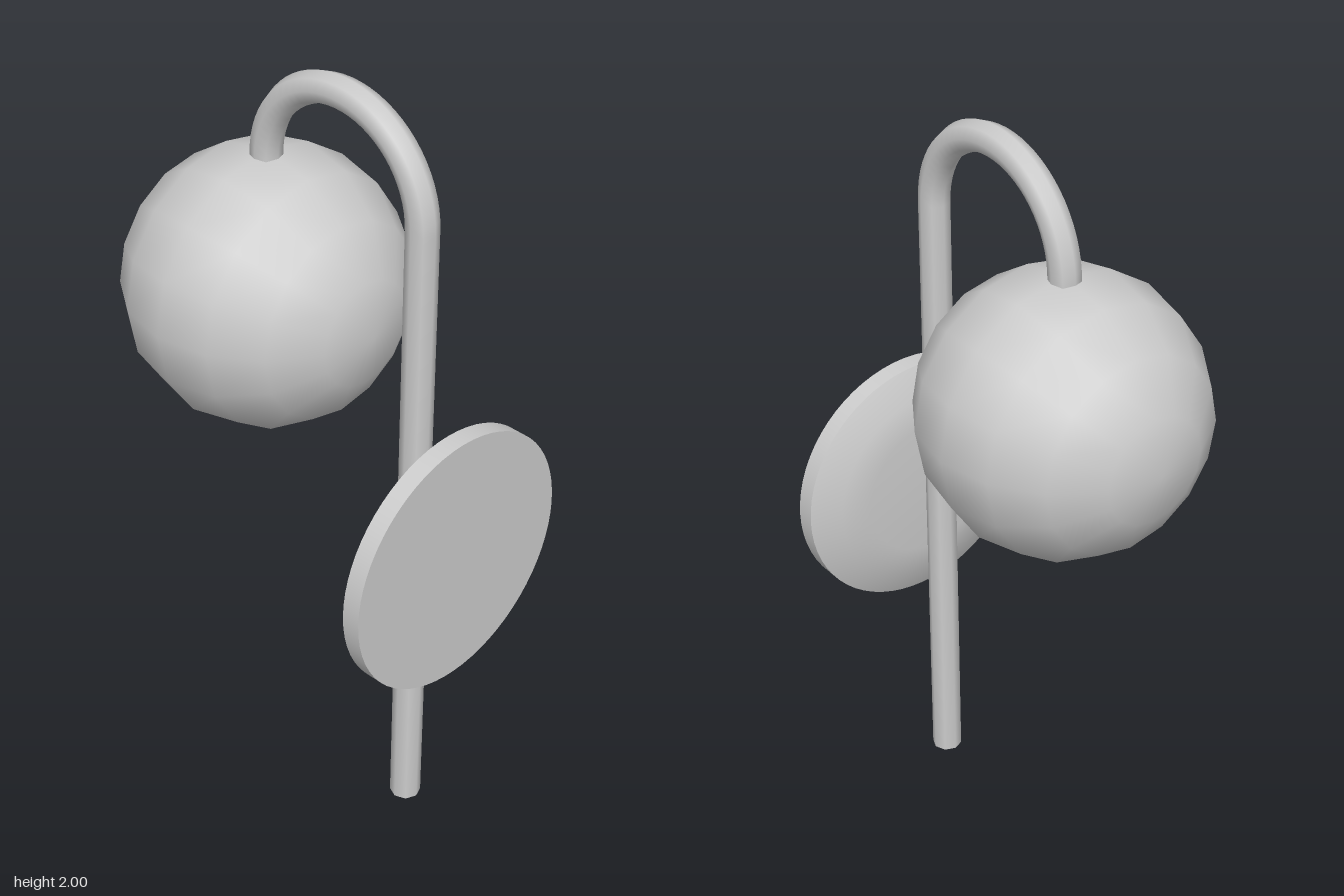
import * as THREE from 'three';

const material = new THREE.MeshStandardMaterial({ color: 0xcccccc });

function part(parent, name, geometry, x, y) {
  const mesh = new THREE.Mesh(geometry, material);
  mesh.name = name;
  mesh.position.set(x, y, 0);
  parent.add(mesh);
  return mesh;
}

// Revolves [radius, x] pairs around the x axis
function latheX(pairs) {
  const points = pairs.map(([r, x]) => new THREE.Vector2(r, x));
  return new THREE.LatheGeometry(points, 64).rotateZ(-Math.PI / 2);
}

export function createModel() {
  const lamp = new THREE.Group();
  lamp.name = 'wallLamp';

  const tube = 0.04, bend = 0.253, poleX = 0.357, bendY = 1.707;

  // Upright pole, semicircular bend and short end reaching into the globe
  part(lamp, 'pole', new THREE.CylinderGeometry(tube, tube, bendY, 8), poleX, bendY / 2);
  part(lamp, 'bend', new THREE.TorusGeometry(bend, tube, 8, 32, Math.PI), poleX - bend, bendY);
  part(lamp, 'globeStem', new THREE.CylinderGeometry(tube, tube, 0.06, 8), poleX - 2 * bend, bendY - 0.03);

  // Globe with its poles along x
  const globe = new THREE.SphereGeometry(0.363, 16, 8).rotateZ(Math.PI / 2);
  part(lamp, 'globe', globe, poleX - 2 * bend, 1.355);

  // Wall plate: domed face, rim and flat back, kept apart for sharp edges
  const plate = new THREE.Group();
  plate.name = 'wallPlate';
  lamp.add(plate);
  const plateY = 0.847, r = 0.346, rim = 0.457, back = 0.507;
  part(plate, 'plateDome', latheX([[0, 0.407], [0.19, 0.407], [0.27, 0.422], [r, rim]]), 0, plateY);
  part(plate, 'plateRim', latheX([[r, rim], [r, back]]), 0, plateY);
  part(plate, 'plateBack', latheX([[r, back], [0, back]]), 0, plateY);

  return lamp;
}
